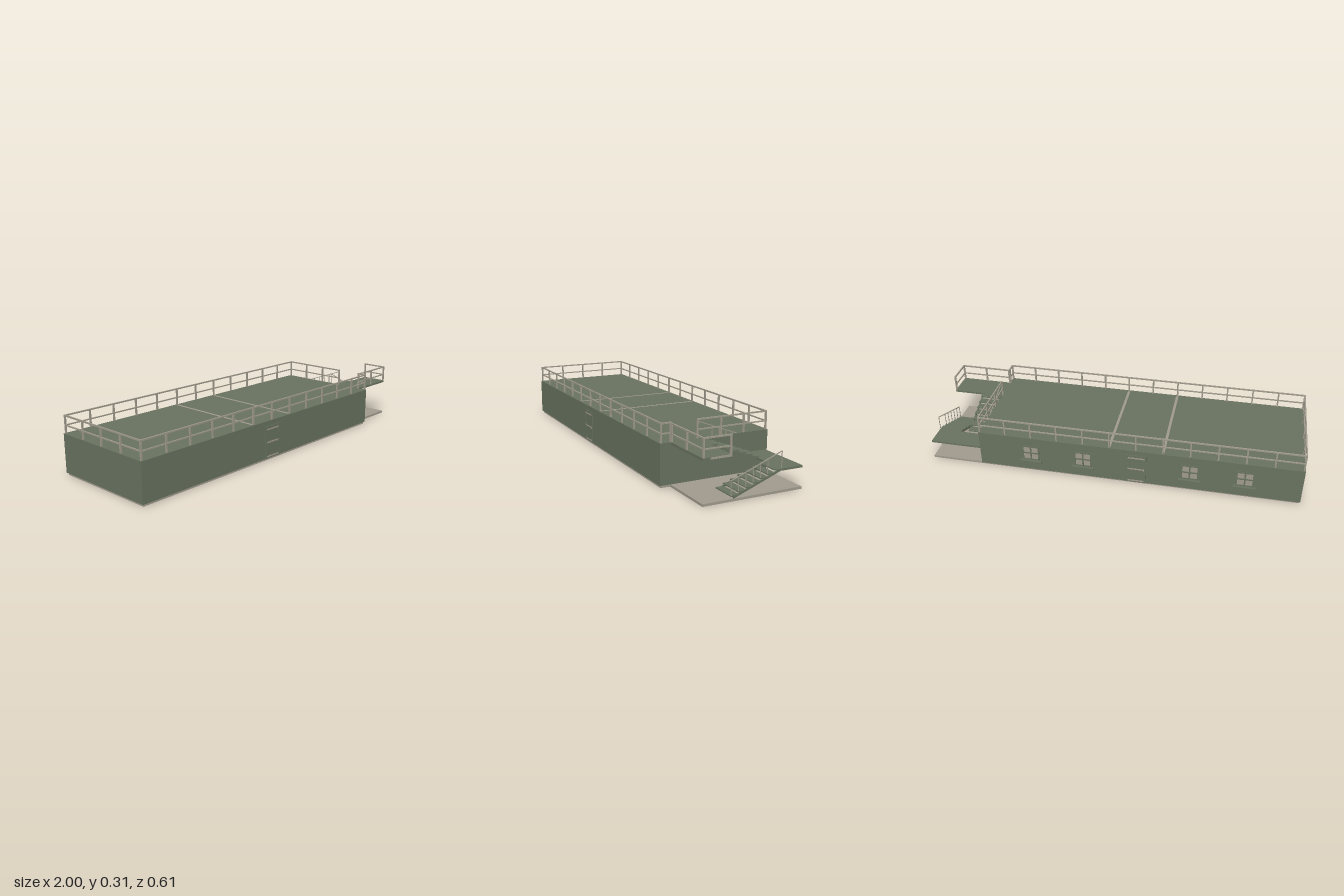
import * as THREE from 'three';

const mat = (name, color) => {
  const m = new THREE.MeshStandardMaterial({ color });
  m.name = name;
  return m;
};

export function createModel() {
  const green = mat('green paint', 0x68725f);
  const stone = mat('warm grey', 0xa09a8c);
  const root = new THREE.Group();
  root.name = 'flatRoofBuilding';

  const group = (name, parent = root) => {
    const g = new THREE.Group();
    g.name = name;
    parent.add(g);
    return g;
  };
  // Box given by its extents
  const box = (parent, name, m, x0, x1, y0, y1, z0, z1) => {
    const mesh = new THREE.Mesh(new THREE.BoxGeometry(x1 - x0, y1 - y0, z1 - z0), m);
    mesh.position.set((x0 + x1) / 2, (y0 + y1) / 2, (z0 + z1) / 2);
    mesh.name = name;
    parent.add(mesh);
    return mesh;
  };
  // Straight bar between two points
  const beam = (parent, name, m, a, b, w, h = w) => {
    const p = new THREE.Vector3(...a), q = new THREE.Vector3(...b);
    const mesh = new THREE.Mesh(new THREE.BoxGeometry(w, h, p.distanceTo(q)), m);
    mesh.position.copy(p).add(q).multiplyScalar(0.5);
    mesh.lookAt(q);
    mesh.name = name;
    parent.add(mesh);
  };

  // Foundation, walls and roof
  box(root, 'foundation', stone, -0.993, 0.71, 0, 0.012, -0.277, 0.291);
  box(root, 'stairFoundation', stone, 0.71, 1, 0, 0.012, -0.277, 0.243);
  box(root, 'buildingBody', green, -1, 0.715, 0.012, 0.212, -0.286, 0.298);
  for (const x of [-0.283, 0]) box(root, 'roofStrip', stone, x - 0.007, x + 0.007, 0.21, 0.2126, -0.272, 0.284);

  // Railing run: n bays, posts, top rail and middle rail
  const railing = (name, x0, z0, x1, z1, n, y, t = 0.008) => {
    const g = group(name);
    for (let i = 0; i <= n; i++) {
      const x = x0 + (x1 - x0) * i / n, z = z0 + (z1 - z0) * i / n;
      box(g, 'post', stone, x - t / 2, x + t / 2, y, y + 0.09, z - t / 2, z + t / 2);
    }
    const e = t / 2;
    for (const [label, h, s] of [['topRail', 0.09, 0.007], ['middleRail', 0.042, 0.006]]) {
      const ex = x0 === x1 ? s / 2 : e, ez = z0 === z1 ? s / 2 : e;
      box(g, label, stone, Math.min(x0, x1) - ex, Math.max(x0, x1) + ex,
        y + h - s / 2, y + h + s / 2, Math.min(z0, z1) - ez, Math.max(z0, z1) + ez);
    }
  };
  railing('frontRailing', -0.992, 0.29, 0.709, 0.29, 12, 0.212);
  railing('backRailing', -0.992, -0.277, 0.709, -0.277, 12, 0.212);
  railing('rightEndRailing', -0.992, -0.277, -0.992, 0.29, 4, 0.212);
  railing('leftEndRailing', 0.709, -0.277, 0.709, 0.102, 3, 0.212);
  railing('leftEndShortRailing', 0.709, 0.243, 0.709, 0.29, 1, 0.212);
  railing('platformFrontRailing', 0.715, 0.239, 0.994, 0.239, 2, 0.208);
  railing('platformSideRailing', 0.994, 0.104, 0.994, 0.239, 1, 0.208);

  // Landings
  box(root, 'upperPlatform', green, 0.715, 0.998, 0.201, 0.212, 0.1, 0.243);
  box(root, 'platformEdge', stone, 0.997, 1, 0.203, 0.212, 0.1, 0.207);
  box(root, 'middleLanding', green, 0.715, 1, 0.102, 0.112, -0.277, -0.163);

  // Stair flights with open risers
  const run = 0.263 / 7, rise = 0.1 / 7;
  const flight = (name, x0, x1, z, y, dir, railX) => {
    const g = group(name);
    for (let i = 0; i < 7; i++) {
      const a = z + dir * run * i, b = a + dir * run * 1.1, top = y + rise * (i + 1);
      box(g, 'tread', green, x0, x1, top - 0.005, top, Math.min(a, b), Math.max(a, b));
      if (i < 6) box(g, 'baluster', stone, railX - 0.0015, railX + 0.0015,
        top, y + 0.081 + rise * i, a - 0.0015, a + 0.0015);
    }
    const end = z + dir * 0.263;
    for (const x of [x0 + 0.003, x1 - 0.003])
      beam(g, 'stringer', green, [x, y + 0.004, z + dir * 0.012], [x, y + 0.097, end], 0.006, 0.01);
    box(g, 'endBaluster', stone, railX - 0.0015, railX + 0.0015, y + 0.1, y + 0.181, end - 0.0015, end + 0.0015);
    beam(g, 'handrail', stone, [railX, y + 0.081, z], [railX, y + 0.181, end], 0.004);
  };
  flight('lowerFlight', 0.872, 0.999, 0.1, 0.012, -1, 0.9965);
  flight('upperFlight', 0.717, 0.83, -0.163, 0.112, 1, 0.712);

  // Doors, one on each long side; s is the outward direction
  const door = (name, zWall, s) => {
    const g = group(name);
    g.position.set(-0.145, 0, zWall);
    if (s < 0) g.rotation.y = Math.PI;
    box(g, 'doorPanel', green, -0.047, 0.047, 0.012, 0.178, -0.002, 0.002);
    for (const x of [-0.05, 0.05]) box(g, 'jamb', green, x - 0.004, x + 0.004, 0.012, 0.186, -0.002, 0.004);
    box(g, 'lintel', green, -0.054, 0.054, 0.178, 0.186, -0.002, 0.004);
    for (const y of [0.022, 0.098, 0.168]) box(g, 'doorBar', stone, -0.044, 0.044, y - 0.004, y + 0.004, 0, 0.003);
    box(g, 'doorHandle', stone, 0.036, 0.041, 0.09, 0.099, 0.002, 0.005);
  };
  door('frontDoor', 0.298, 1);
  door('backDoor', -0.286, -1);

  // Back windows with four panes and a projecting sill
  for (const x of [-0.71, -0.427, 0.14, 0.427]) {
    const g = group('window');
    g.position.set(x, 0, -0.286);
    box(g, 'panes', stone, -0.044, 0.044, 0.076, 0.162, -0.001, 0.002);
    for (const dx of [-0.043, 0, 0.043]) box(g, 'verticalFrame', green, dx - 0.004, dx + 0.004, 0.074, 0.164, -0.003, 0.002);
    for (const y of [0.078, 0.119, 0.16]) box(g, 'horizontalFrame', green, -0.047, 0.047, y - 0.004, y + 0.004, -0.003, 0.002);
    box(g, 'sill', green, -0.058, 0.058, 0.067, 0.075, -0.016, 0.002);
  }
  return root;
}
